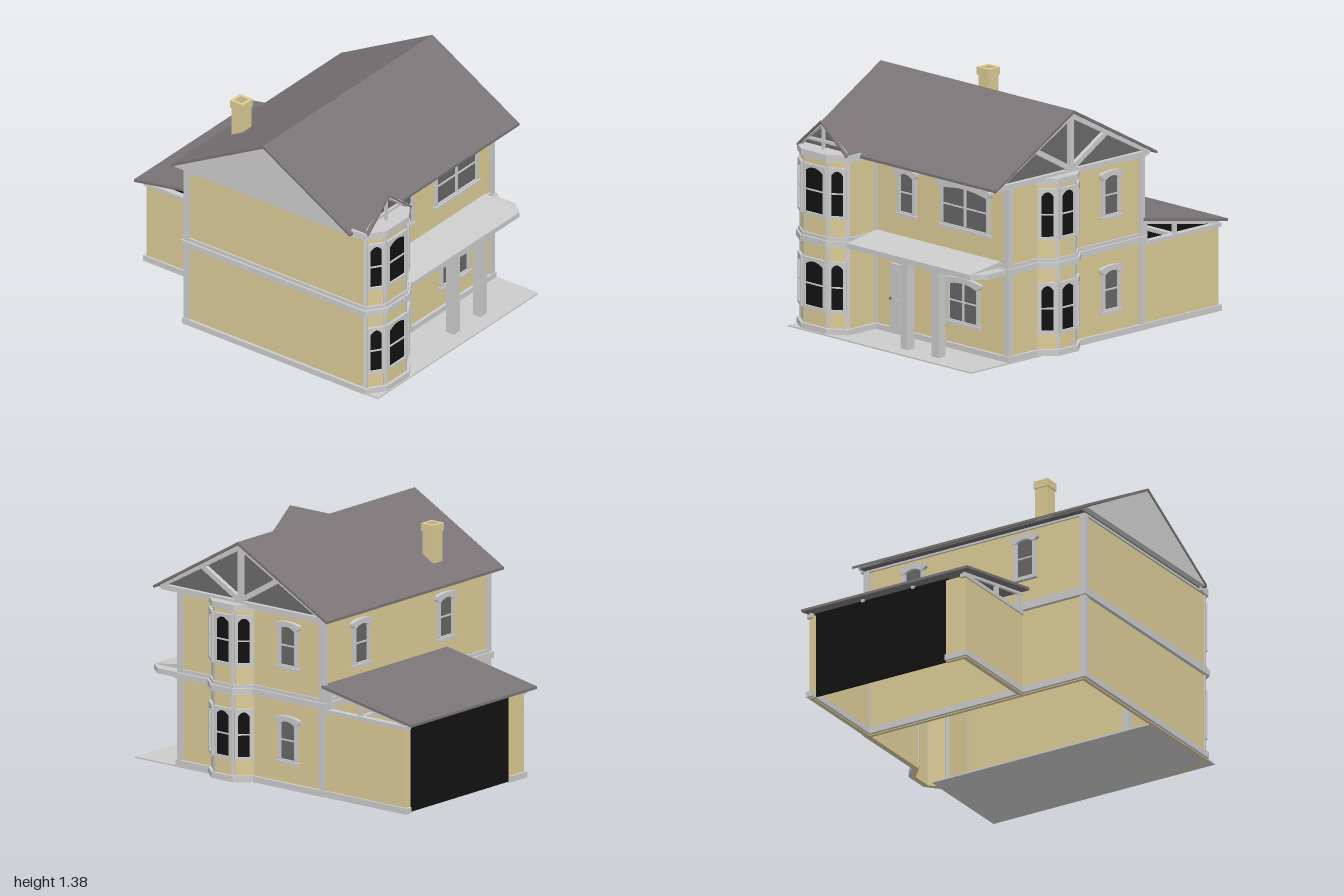
import * as THREE from 'three';

const mat = (color) => new THREE.MeshStandardMaterial({ color, flatShading: true, side: THREE.DoubleSide });
const TRIM = mat(0xcccccc), WALL = mat(0xdccb96), ROOF = mat(0x7a7476), GLASS = mat(0x666666), BLACK = mat(0x121212), DARK = mat(0x6a6a6a);

function add(parent, name, geo, material) {
  const m = new THREE.Mesh(geo, material);
  m.name = name;
  parent.add(m);
  return m;
}

// box given by its min and max on each axis
function box(parent, name, material, x0, x1, y0, y1, z0, z1) {
  const m = add(parent, name, new THREE.BoxGeometry(x1 - x0, y1 - y0, z1 - z0), material);
  m.position.set((x0 + x1) / 2, (y0 + y1) / 2, (z0 + z1) / 2);
  return m;
}

// square timber between two points
function beam(parent, name, a, b, w, material = TRIM) {
  const p = new THREE.Vector3(...a), q = new THREE.Vector3(...b), d = q.clone().sub(p);
  const m = add(parent, name, new THREE.BoxGeometry(d.length(), w, w), material);
  m.position.copy(p).add(q).multiplyScalar(0.5);
  m.quaternion.setFromUnitVectors(new THREE.Vector3(1, 0, 0), d.normalize());
  return m;
}

const shapeOf = (pts) => new THREE.Shape(pts.map(([x, y]) => new THREE.Vector2(x, y)));
const extrude = (shape, depth) => new THREE.ExtrudeGeometry(shape, { depth, bevelEnabled: false, curveSegments: 8 });

// (x, y) profile run along z, and (z, y) profile run along x
const alongZ = (pts, z0, z1) => extrude(shapeOf(pts), z1 - z0).translate(0, 0, z0);
const alongX = (pts, x0, x1) => extrude(shapeOf(pts.map(([z, y]) => [-z, y])), x1 - x0).rotateY(Math.PI / 2).translate(x0, 0, 0);

// outward normal of plan edge i
function edge(plan, i) {
  const n = plan.length, a = plan[(i + n) % n], b = plan[(i + 1) % n];
  const dx = b[0] - a[0], dz = b[1] - a[1], len = Math.hypot(dx, dz);
  return { nx: -dz / len, nz: dx / len, len, x: (a[0] + b[0]) / 2, z: (a[1] + b[1]) / 2 };
}

function offset(plan, d) {
  return plan.map(([x, z], i) => {
    const p = edge(plan, i - 1), q = edge(plan, i), k = d / (1 + p.nx * q.nx + p.nz * q.nz);
    return [x + (p.nx + q.nx) * k, z + (p.nz + q.nz) * k];
  });
}

// plan polygon raised from y0 to y1, optionally hollow
function slab(plan, y0, y1, inner) {
  const s = shapeOf(plan.map(([x, z]) => [x, -z]));
  if (inner) s.holes.push(new THREE.Path(inner.map(([x, z]) => new THREE.Vector2(x, -z))));
  return extrude(s, y1 - y0).rotateX(-Math.PI / 2).translate(0, y0, 0);
}
const ring = (plan, out, inn, y0, y1) => slab(offset(plan, out), y0, y1, offset(plan, inn));

// opening with a shallow arched head
function arch(C, w, h, x, y, rise) {
  const s = new C();
  s.moveTo(x - w / 2, y);
  s.lineTo(x + w / 2, y);
  s.lineTo(x + w / 2, y + h - rise);
  s.quadraticCurveTo(x, y + h + rise, x - w / 2, y + h - rise);
  s.closePath();
  return s;
}

// framed window facing +z, origin at bottom centre
function makeWindow(name, w, h, panes, glass, square) {
  const g = new THREE.Group(), f = square ? 0.018 : 0.02, rise = square ? 0.025 : 0.02;
  g.name = name;
  const frame = square ? shapeOf([[-w / 2, 0], [w / 2, 0], [w / 2, h], [-w / 2, h]]) : arch(THREE.Shape, w, h, 0, 0, rise);
  frame.holes.push(arch(THREE.Path, w - 2 * f, h - 2 * f, 0, f, rise));
  add(g, 'windowFrame', extrude(frame, 0.016), TRIM);
  add(g, 'windowGlass', extrude(arch(THREE.Shape, w - f, h - f, 0, f / 2, rise), 0.005), glass);
  box(g, 'crossBar', TRIM, -w / 2 + f, w / 2 - f, h * 0.48, h * 0.48 + 0.008, 0, 0.012);
  for (let i = 1; i < panes; i++) {
    const x = -w / 2 + (w * i) / panes;
    box(g, 'mullion', TRIM, x - 0.006, x + 0.006, f, h - f, 0, 0.014);
  }
  if (!square) {
    // projecting sill and curved hood with ears
    box(g, 'sill', TRIM, -w / 2 - 0.01, w / 2 + 0.01, -0.005, 0.012, 0, 0.024);
    const hood = new THREE.Shape(), e = w / 2 + 0.02;
    hood.moveTo(-e, h - 0.025);
    hood.lineTo(-w / 2 + 0.01, h - 0.045);
    hood.quadraticCurveTo(0, h, w / 2 - 0.01, h - 0.045);
    hood.lineTo(e, h - 0.025);
    hood.lineTo(e, h - 0.008);
    hood.quadraticCurveTo(0, h + 0.022, -e, h - 0.008);
    add(g, 'windowHood', extrude(hood, 0.024), TRIM);
  }
  return g;
}

function place(parent, g, x, y, z, turn) {
  g.position.set(x, y, z);
  g.rotation.y = turn;
  parent.add(g);
}

export function createModel() {
  const house = new THREE.Group();
  house.name = 'house';
  const R = Math.PI / 2;

  // house plan (x, z), including the corner bay and the back bay
  const plan = [[-0.35, 0.735], [0.91, 0.735], [0.975, 0.64], [0.975, 0.45], [0.91, 0.355], [0.69, 0.355],
    [0.69, -0.7], [0.465, -0.7], [0.38, -0.775], [0.24, -0.775], [0.155, -0.7], [-0.35, -0.7]];
  add(house, 'walls', ring(plan, 0, -0.02, 0, 1.02), WALL);
  add(house, 'baseboard', ring(plan, 0.018, 0, 0.005, 0.04), TRIM);
  add(house, 'floorBand', ring(plan, 0.022, 0, 0.51, 0.545), TRIM);
  add(house, 'floorBandCap', ring(plan, 0.01, 0, 0.545, 0.565), TRIM);
  add(house, 'cornice', ring(plan, 0.012, 0, 1.0, 1.022), TRIM);
  plan.forEach(([x, z], i) => {
    const p = edge(plan, i - 1), q = edge(plan, i);
    const square = Math.abs(p.nx * q.nx + p.nz * q.nz) < 0.1;
    const s = square ? 0.036 : 0.024;
    const post = add(house, 'cornerPost', new THREE.BoxGeometry(s, 1, s), TRIM);
    post.position.set(x - (p.nx + q.nx) * 0.006, 0.51, z - (p.nz + q.nz) * 0.006);
    post.rotation.y = square ? 0 : Math.atan2(p.nx + q.nx, p.nz + q.nz);
  });

  // bay windows on both floors
  for (const i of [1, 2, 3, 7, 8, 9]) {
    const e = edge(plan, i);
    for (const y of [0.13, 0.67]) {
      place(house, makeWindow('bayWindow', e.len - 0.012, 0.295, 1, BLACK, true), e.x, y, e.z, Math.atan2(e.nx, e.nz));
    }
  }

  // flat caps over the bays
  const cornerBay = [[0.84, 0.745], ...plan.slice(1, 5), [0.84, 0.345]];
  add(house, 'cornerBayCap', slab(offset(cornerBay, 0.015), 1.0, 1.04), TRIM);
  add(house, 'backBayCap', slab(offset(plan.slice(7, 11), 0.014), 0.99, 1.025), TRIM);

  // single windows: width, height, panes, position, turn
  for (const [w, h, panes, x, y, z, turn] of [
    [0.14, 0.265, 1, 0.69, 0.7, 0.1, R], [0.39, 0.265, 2, 0.69, 0.7, -0.365, R], [0.26, 0.265, 2, 0.69, 0.155, -0.35, R],
    [0.14, 0.265, 1, -0.1, 0.7, -0.7, 2 * R], [0.14, 0.265, 1, -0.1, 0.155, -0.7, 2 * R],
    [0.14, 0.265, 1, -0.35, 0.7, -0.385, -R], [0.14, 0.265, 1, -0.35, 0.7, 0.35, -R],
  ]) place(house, makeWindow('window', w, h, panes, GLASS, false), x, y, z, turn);

  // panelled front door
  const door = new THREE.Group();
  door.name = 'door';
  box(door, 'doorLeaf', TRIM, -0.085, 0.085, 0, 0.4, 0, 0.02);
  for (const s of [-1, 1]) {
    for (const [y0, y1] of [[0.03, 0.2], [0.22, 0.375]]) {
      box(door, 'doorPanel', TRIM, s * 0.036 - 0.026, s * 0.036 + 0.026, y0, y1, 0.02, 0.026);
    }
  }
  const knob = add(door, 'doorKnob', new THREE.SphereGeometry(0.008, 8, 6), DARK);
  knob.position.set(-0.075, 0.2, 0.028);
  place(house, door, 0.69, 0.01, 0.137, R);

  // porch
  box(house, 'porchFloor', TRIM, 0.36, 1.0, 0, 0.008, -0.72, 0.74);
  const porch = [[0.69, 0.355], [0.93, 0.355], [0.93, -0.64], [0.85, -0.705], [0.69, -0.705]];
  add(house, 'porchRoof', slab(porch, 0.51, 0.54), TRIM);
  add(house, 'porchSlope', alongZ([[0.69, 0.54], [0.93, 0.54], [0.69, 0.575]], -0.64, 0.35), TRIM);
  for (const z of [-0.095, -0.34]) box(house, 'porchColumn', TRIM, 0.855, 0.91, 0.008, 0.51, z - 0.028, z + 0.028);

  // main roof, gables and soffit
  add(house, 'mainRoof', alongZ([[-0.415, 1.018], [0.23, 1.365], [0.84, 1.015], [0.84, 1.03], [0.23, 1.382], [-0.415, 1.033]], -0.755, 0.79), ROOF);
  add(house, 'frontGable', alongZ([[-0.4, 1.02], [0.83, 1.02], [0.23, 1.366]], 0.73, 0.785), TRIM);
  add(house, 'backGable', alongZ([[-0.38, 1.02], [0.81, 1.02], [0.23, 1.366]], -0.71, -0.69), DARK);
  box(house, 'soffit', DARK, -0.4, 0.83, 1.012, 1.022, -0.71, 0.75);
  for (const z of [0.04, -0.28, -0.64]) box(house, 'eaveBracket', TRIM, 0.69, 0.82, 1.0, 1.014, z - 0.025, z + 0.025);
  const zt = -0.72;
  for (const [a, b] of [[[-0.38, 1.03], [0.23, 1.35]], [[0.81, 1.03], [0.23, 1.35]], [[-0.36, 1.025], [0.8, 1.025]],
    [[0.23, 1.02], [0.23, 1.36]], [[0.23, 1.04], [-0.04, 1.2]], [[0.23, 1.04], [0.5, 1.19]]]) {
    beam(house, 'gableTimber', [...a, zt], [...b, zt], 0.03);
  }

  // small gabled roof over the corner bay
  add(house, 'bayRoof', alongX([[0.345, 1.03], [0.55, 1.195], [0.74, 1.03], [0.74, 1.042], [0.55, 1.207], [0.345, 1.042]], 0.54, 0.935), ROOF);
  add(house, 'bayGable', alongX([[0.36, 1.035], [0.55, 1.19], [0.725, 1.035]], 0.86, 0.875), DARK);
  for (const [a, b] of [[[1.045, 0.36], [1.185, 0.55]], [[1.045, 0.725], [1.185, 0.55]], [[1.04, 0.55], [1.19, 0.55]], [[1.085, 0.42], [1.085, 0.67]]]) {
    beam(house, 'bayGableTimber', [0.91, ...a], [0.91, ...b], 0.016);
  }

  // open chimney with flared top
  const chimney = (r) => [[-0.225 - r, 0.397 + r], [-0.225 + r, 0.397 + r], [-0.225 + r, 0.397 - r], [-0.225 - r, 0.397 - r]];
  add(house, 'chimney', slab(chimney(0.04), 1.08, 1.3, chimney(0.028)), WALL);
  add(house, 'chimneyTop', slab(chimney(0.046), 1.29, 1.335, chimney(0.028)), WALL);

  // garage: walls, trim, open trusses and lean-to roof
  const garage = new THREE.Group();
  garage.name = 'garage';
  for (const [z, s] of [[0.33, 1], [-0.7, -1]]) {
    const z0 = Math.min(z, z - s * 0.02), z1 = Math.max(z, z - s * 0.02);
    box(garage, 'garageWall', WALL, -0.945, -0.35, 0, 0.49, z0, z1);
    box(garage, 'garageBase', TRIM, -0.96, -0.35, 0.005, 0.04, z0 - 0.012, z1 + 0.012);
    box(garage, 'garageTopBeam', TRIM, -0.96, -0.35, 0.488, 0.51, z0 - 0.008, z1 + 0.008);
    for (const [x, top] of [[-0.61, 0.58], [-0.38, 0.62]]) box(garage, 'trussPost', TRIM, x - 0.012, x + 0.012, 0.5, top, z0, z1);
  }
  box(garage, 'garageEndWall', WALL, -0.945, -0.925, 0, 0.5, 0.2, 0.33);
  box(garage, 'garageEndBase', TRIM, -0.96, -0.92, 0.005, 0.04, 0.2, 0.342);
  box(garage, 'garageCornerWall', WALL, -0.945, -0.925, 0, 0.5, -0.7, -0.66);
  box(garage, 'garageDoor', BLACK, -0.938, -0.928, 0.005, 0.515, -0.67, 0.21);
  for (const z of [-0.69, -0.35, -0.02, 0.32]) beam(garage, 'rafter', [-0.95, 0.512, z], [-0.35, 0.62, z], 0.016);
  box(garage, 'crossTie', TRIM, -0.625, -0.595, 0.488, 0.51, -0.69, 0.32);
  add(garage, 'garageRoof', alongZ([[-1, 0.515], [-0.35, 0.632], [-0.35, 0.648], [-1, 0.53]], -0.72, 0.375), ROOF);
  house.add(garage);
  return house;
}
